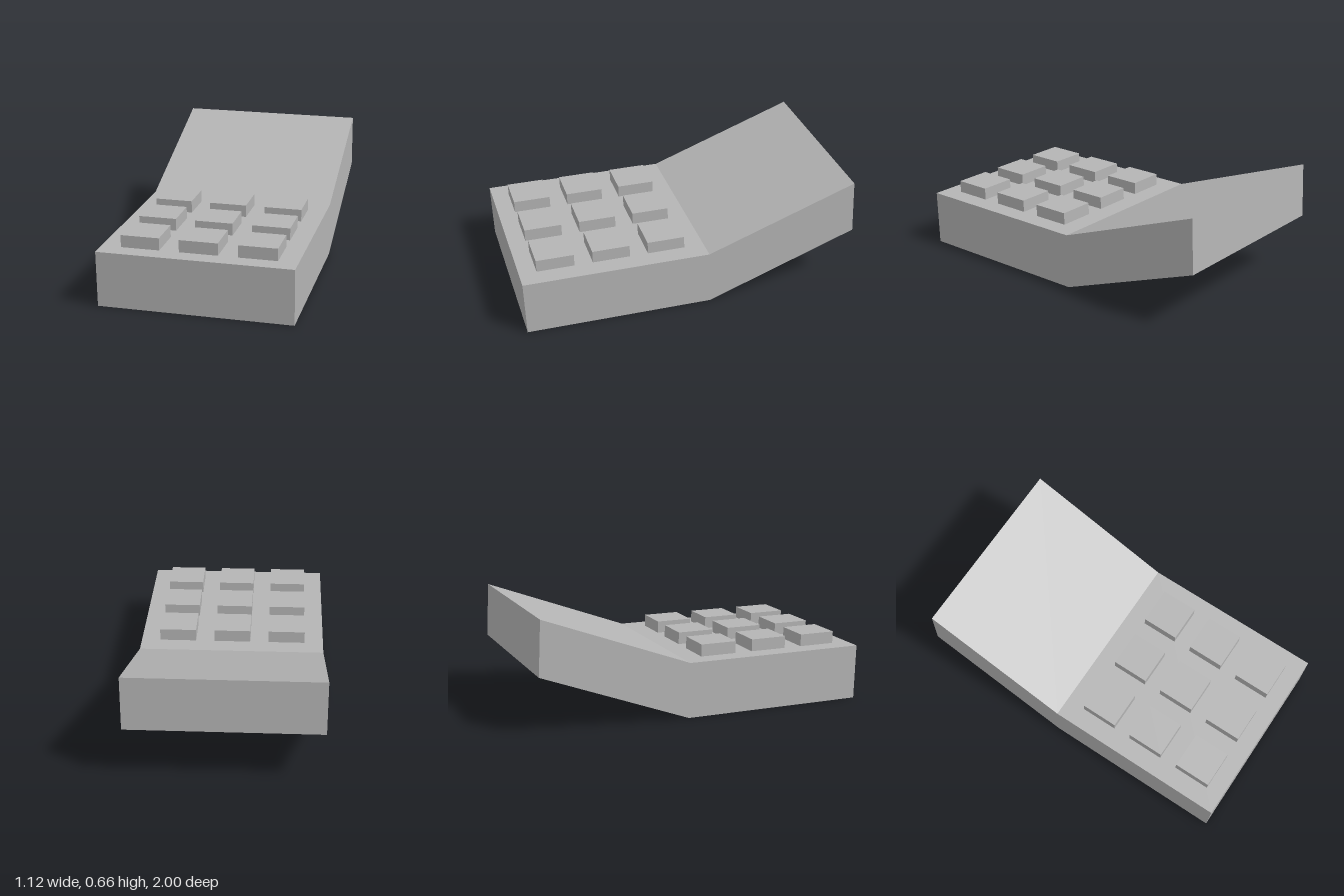
import * as THREE from 'three';

const WIDTH = 1.12;

// Extrudes a side profile of [z, y] points across x, centred on x = 0.
function extrudeAcross(points, width) {
  const shape = new THREE.Shape(points.map(([z, y]) => new THREE.Vector2(z, y)));
  const geometry = new THREE.ExtrudeGeometry(shape, { depth: width, bevelEnabled: false });
  geometry.translate(0, 0, -width / 2);
  geometry.rotateY(-Math.PI / 2);
  return geometry;
}

export function createModel() {
  const group = new THREE.Group();
  const grey = new THREE.MeshStandardMaterial({ color: 0xb4b4b4 });
  grey.name = 'plain grey';

  // Bent slab: flat keypad half and raised rear half
  const body = new THREE.Mesh(extrudeAcross([
    [0.99, 0], [1, 0.327], [-0.1, 0.327], [-0.985, 0.656], [-1, 0.334], [-0.11, 0],
  ], WIDTH), grey);
  body.name = 'body';
  group.add(body);

  // Three by three grid of square keys, leaning very slightly forward
  const keyGeometry = extrudeAcross([
    [-0.112, 0], [0.109, 0], [0.111, 0.072], [-0.11, 0.072],
  ], 0.222);
  for (let row = 0; row < 3; row++) {
    for (let column = 0; column < 3; column++) {
      const key = new THREE.Mesh(keyGeometry, grey);
      key.name = `key${row + 1}_${column + 1}`;
      key.position.set((column - 1) * 0.335, 0.327, 0.13 + row * 0.329);
      group.add(key);
    }
  }
  return group;
}
